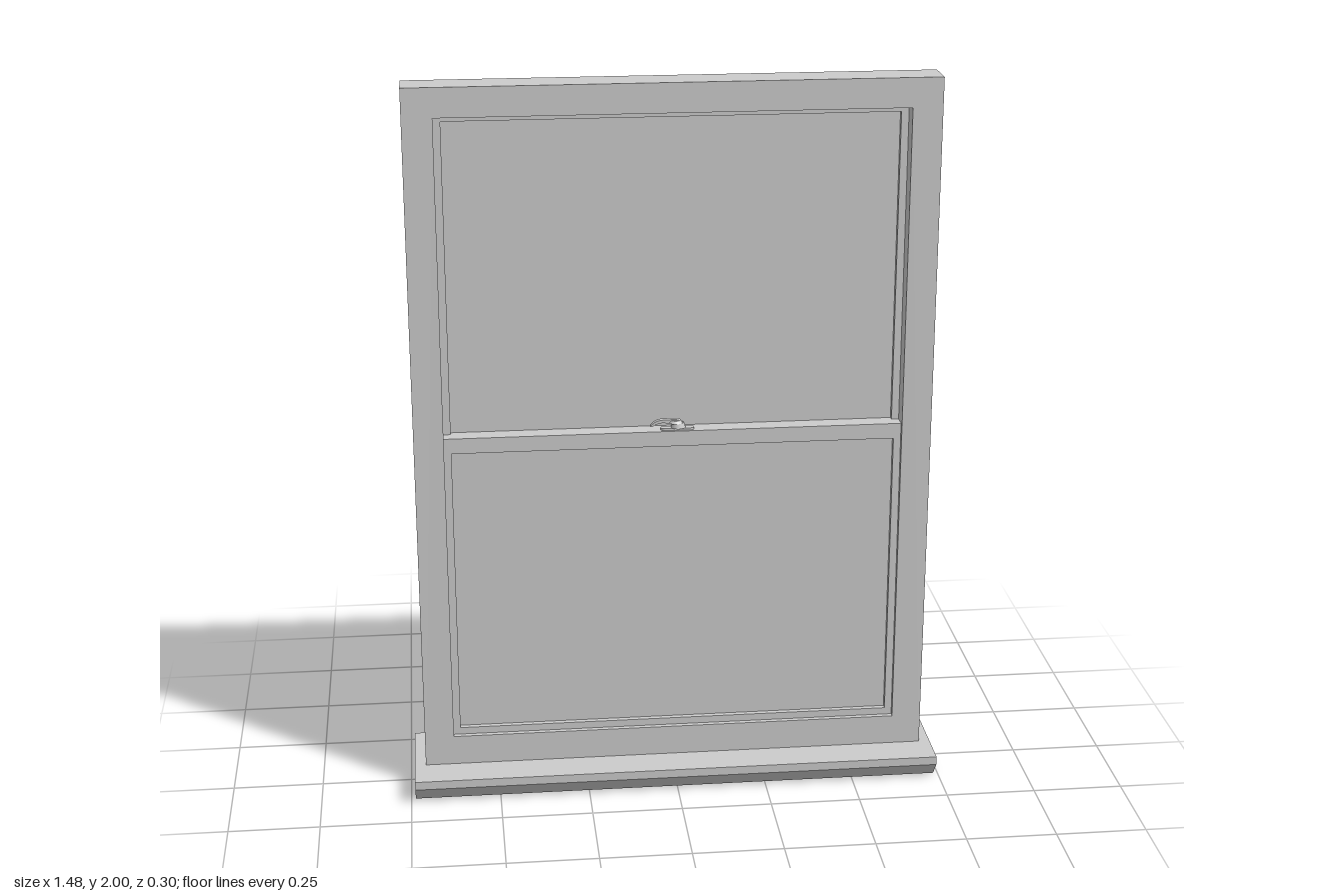
import * as THREE from 'three';

const material = new THREE.MeshStandardMaterial({ color: 0xcccccc });

function add(parent, name, geometry, x = 0, y = 0, z = 0) {
  const mesh = new THREE.Mesh(geometry, material);
  mesh.name = name;
  mesh.position.set(x, y, z);
  parent.add(mesh);
  return mesh;
}

function extrude(shape, depth) {
  return new THREE.ExtrudeGeometry(shape, { depth, bevelEnabled: false, curveSegments: 10 });
}

function rectangle(Type, halfWidth, y0, y1) {
  return new Type([[-halfWidth, y0], [halfWidth, y0], [halfWidth, y1], [-halfWidth, y1]]
    .map(([x, y]) => new THREE.Vector2(x, y)));
}

// Rectangular frame: outer and inner are [halfWidth, bottom, top]
function frameGeometry(outer, inner, depth) {
  const shape = rectangle(THREE.Shape, ...outer);
  shape.holes.push(rectangle(THREE.Path, ...inner));
  return extrude(shape, depth);
}

// Sash frame with its thin pane
function createSash(name, outer, inner, zBack, paneZ) {
  const sash = new THREE.Group();
  sash.name = name;
  add(sash, 'sashFrame', frameGeometry(outer, inner, 0.036), 0, 0, zBack);
  const [w, y0, y1] = inner;
  add(sash, 'pane', new THREE.BoxGeometry(2 * w, y1 - y0, 0.012), 0, (y0 + y1) / 2, paneZ);
  return sash;
}

// Cam latch on top of the meeting rail
function createLatch() {
  const latch = new THREE.Group();
  latch.name = 'latch';

  // Base plate with rounded ends
  const plate = new THREE.Shape();
  plate.absarc(0.045, 0, 0.011, -Math.PI / 2, Math.PI / 2);
  plate.absarc(-0.025, 0, 0.011, Math.PI / 2, Math.PI * 1.5);
  add(latch, 'basePlate', extrude(plate, 0.006).rotateX(-Math.PI / 2));

  // Turning cam and its cap
  add(latch, 'cam', new THREE.CylinderGeometry(0.016, 0.02, 0.014, 20), 0.012, 0.013, 0);
  add(latch, 'cap', new THREE.CylinderGeometry(0.014, 0.02, 0.007, 20), 0.005, 0.0235, 0);

  // Thumb lever, curling down at its tip
  const lever = new THREE.Shape();
  lever.moveTo(0.025, 0.016);
  lever.quadraticCurveTo(0.022, 0.029, 0, 0.03);
  lever.lineTo(-0.035, 0.029);
  lever.quadraticCurveTo(-0.052, 0.027, -0.065, 0.012);
  lever.lineTo(-0.06, 0.01);
  lever.quadraticCurveTo(-0.048, 0.02, -0.03, 0.021);
  lever.lineTo(0, 0.017);
  lever.closePath();
  add(latch, 'lever', extrude(lever, 0.014), 0, 0, -0.007);

  latch.position.set(0, 1.04, 0.018);
  return latch;
}

export function createModel() {
  const model = new THREE.Group();
  model.name = 'window';

  // Sill with both lower edges bevelled
  const profile = new THREE.Shape([
    [-0.115, 0], [0.115, 0], [0.152, 0.046], [0.152, 0.07], [-0.152, 0.07], [-0.152, 0.046],
  ].map(([z, y]) => new THREE.Vector2(z, y)));
  add(model, 'sill', extrude(profile, 1.476).translate(0, 0, -0.738).rotateY(Math.PI / 2));

  // Outer frame
  add(model, 'outerFrame', frameGeometry([0.707, 0.07, 2], [0.626, 0.155, 1.92], 0.1), 0, 0, -0.05);

  // Lower sash in front, upper sash behind
  model.add(createSash('lowerSash', [0.626, 0.155, 1.04], [0.606, 0.175, 0.997], 0, 0.015));
  model.add(createSash('upperSash', [0.626, 0.997, 1.92], [0.606, 1.04, 1.9], -0.036, -0.021));

  model.add(createLatch());
  return model;
}
